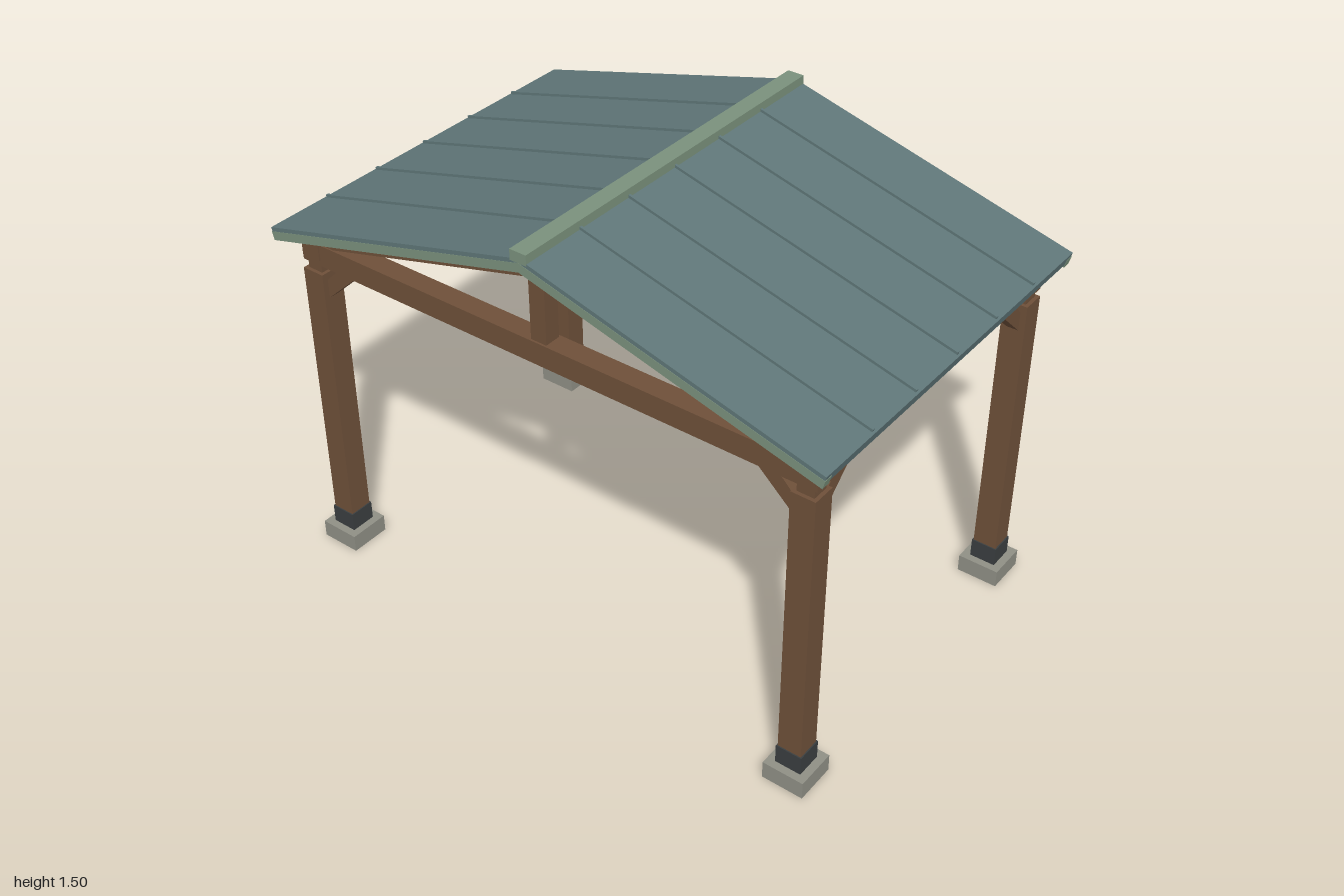
import * as THREE from 'three';

const mat = (color) => new THREE.MeshStandardMaterial({ color });
const SLOPE = 0.266;

export function createModel() {
  const wood = mat(0x6e5039), roofMat = mat(0x5f7678), trimMat = mat(0x7a917c);
  const concrete = mat(0x8f8f85), metal = mat(0x3a3e40);
  const model = new THREE.Group();
  model.name = 'pavilion';

  const add = (name, geometry, material, parent = model) => {
    const mesh = new THREE.Mesh(geometry, material);
    mesh.name = name;
    parent.add(mesh);
    return mesh;
  };
  // Box given by centre x, z, a y range and its widths
  const box = (name, material, x, z, y0, y1, w, d, parent) => {
    const mesh = add(name, new THREE.BoxGeometry(w, y1 - y0, d), material, parent);
    mesh.position.set(x, (y0 + y1) / 2, z);
    return mesh;
  };
  // Profile in the xy plane, extruded along z and centred on depth
  const prism = (points, depth) => {
    const shape = new THREE.Shape(points.map(([x, y]) => new THREE.Vector2(x, y)));
    return new THREE.ExtrudeGeometry(shape, { depth, bevelEnabled: false }).translate(0, 0, -depth / 2);
  };
  // Symmetric pitched layer: ridge heights of the top and underside, half span
  const pitched = (name, material, top, bottom, half, z, depth) => {
    const inner = half - (top - bottom) * 0.25;
    const mesh = add(name, prism([
      [-half, top - SLOPE * half], [-inner, bottom - SLOPE * inner], [0, bottom],
      [inner, bottom - SLOPE * inner], [half, top - SLOPE * half], [0, top],
    ], depth), material);
    mesh.position.z = z;
    return mesh;
  };

  // Corner posts with footings, brackets and knee braces
  for (const sx of [1, -1]) {
    for (const sz of [1, -1]) {
      const corner = new THREE.Group();
      corner.name = `${sz > 0 ? 'front' : 'back'}${sx > 0 ? 'Left' : 'Right'}Post`;
      model.add(corner);
      const x = 0.9 * sx, z = 0.57 * sz;
      box('footing', concrete, x, z, 0, 0.06, 0.14, 0.14, corner);
      box('postBracket', metal, x, z, 0.06, 0.125, 0.088, 0.088, corner);
      box('post', wood, x, z, 0.06, 1.07, 0.08, 0.08, corner);
      box('postTenon', wood, x, z, 1.07, 1.12, 0.056, 0.056, corner);

      // Braces rise from the post face, running inwards
      const brace = (reach, top) => prism([
        [0, 0.98], [0, 1.045], [-(top - 1.045), top], [-reach, top],
      ], 0.04);
      const across = add('crossBrace', brace(0.13, 1.1), wood, corner);
      across.position.set(0.86 * sx, 0, z);
      if (sx < 0) across.rotation.y = Math.PI;
      const along = add('sideBrace', brace(0.15, 1.12), wood, corner);
      along.position.set(x, 0, 0.53 * sz);
      along.rotation.y = -sz * Math.PI / 2;
    }
    // Side plate resting on the posts
    box(sx > 0 ? 'leftPlate' : 'rightPlate', wood, 0.9 * sx, 0, 1.12, 1.19, 0.07, 1.22);
  }

  // Gable trusses
  for (const sz of [1, -1]) {
    const z = 0.57 * sz;
    box('tieBeam', wood, 0, z, 1.1, 1.175, 1.88, 0.07);
    box('kingPost', wood, 0, z, 1.17, 1.43, 0.056, 0.056);
    pitched('gableRafters', wood, 1.449, 1.39, 0.95, z, 0.06);
    pitched('gableTrim', trimMat, 1.47, 1.44, 0.998, 0.651 * sz, 0.03);
  }

  // Ridge beam and common rafters
  box('ridgeBeam', wood, 0, 0, 1.37, 1.44, 0.05, 1.14);
  for (const z of [-0.375, 0, 0.375]) {
    pitched('commonRafters', wood, 1.449, 1.415, 0.95, z, 0.036);
  }

  // Roof sheet, standing seams and ridge cap
  pitched('roofSheet', roofMat, 1.484, 1.449, 1, 0, 1.33);
  for (let i = -2; i <= 2; i++) {
    pitched('roofSeam', roofMat, 1.493, 1.48, 0.995, i * 0.2175, 0.009);
  }
  box('ridgeCap', trimMat, 0, 0, 1.47, 1.505, 0.058, 1.332);

  return model;
}
